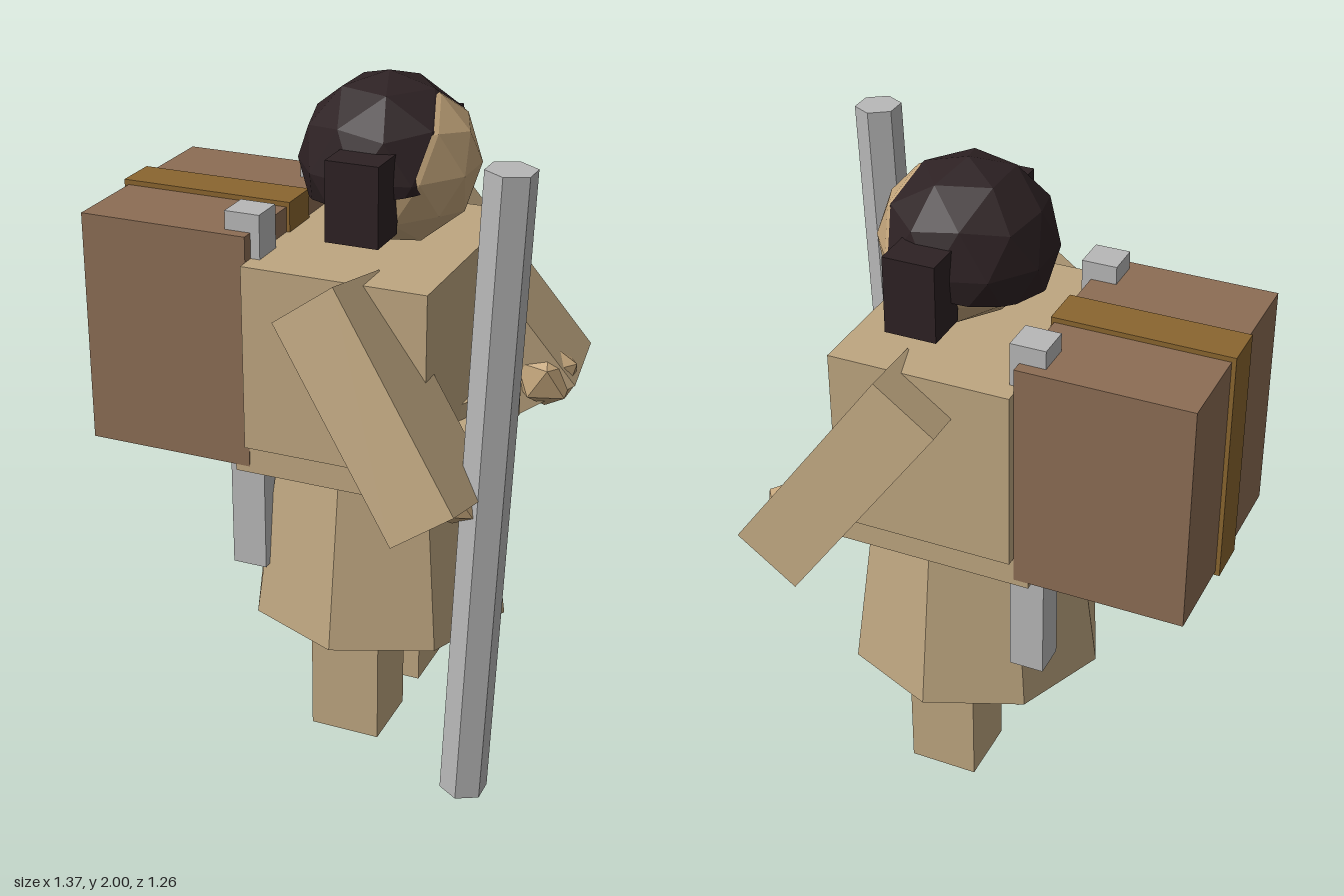
import * as THREE from 'three';

const paint = (name, color, extra = {}) => {
  const m = new THREE.MeshStandardMaterial({ color, flatShading: true, ...extra });
  m.name = name;
  return m;
};

// Faceted ball with one vertex at the very top
function facetedBall(radius, detail) {
  return new THREE.IcosahedronGeometry(radius, detail).rotateZ(-0.5536);
}

// Keep only the part of a triangle soup on the positive side of a plane
function clip(geometry, plane) {
  const pos = geometry.attributes.position, out = [];
  for (let i = 0; i < pos.count; i += 3) {
    const tri = [0, 1, 2].map(k => new THREE.Vector3().fromBufferAttribute(pos, i + k));
    const poly = [];
    tri.forEach((a, k) => {
      const b = tri[(k + 1) % 3];
      const da = plane.distanceToPoint(a), db = plane.distanceToPoint(b);
      if (da >= 0) poly.push(a);
      if (da * db < 0) poly.push(a.clone().lerp(b, da / (da - db)));
    });
    for (let k = 1; k + 1 < poly.length; k++) {
      for (const p of [poly[0], poly[k], poly[k + 1]]) out.push(p.x, p.y, p.z);
    }
  }
  const g = new THREE.BufferGeometry();
  g.setAttribute('position', new THREE.Float32BufferAttribute(out, 3));
  g.computeVertexNormals();
  return g;
}

export function createModel() {
  const model = new THREE.Group();
  model.name = 'traveller';

  const cloth = paint('cloth', 0xbea680);
  const skin = paint('skin', 0xc2a47a);
  const hair = paint('hair', 0x2d2123, { side: THREE.DoubleSide });
  const leather = paint('leather', 0x8c6d54);
  const band = paint('band', 0x8a652f);
  const grey = paint('grey', 0xb8b8b8);

  const add = (name, geometry, material, x, y, z) => {
    const mesh = new THREE.Mesh(geometry, material);
    mesh.name = name;
    mesh.position.set(x, y, z);
    model.add(mesh);
    return mesh;
  };
  // Box given by its extents along each axis
  const box = (name, material, x0, x1, y0, y1, z0, z1) =>
    add(name, new THREE.BoxGeometry(x1 - x0, y1 - y0, z1 - z0), material,
      (x0 + x1) / 2, (y0 + y1) / 2, (z0 + z1) / 2);

  // Robe: torso, waist and flared eight-sided skirt (the figure faces +x)
  box('torso', cloth, -0.16, 0.39, 0.955, 1.51, -0.372, 0.372);
  box('waist', cloth, -0.205, 0.435, 0.86, 1.02, -0.34, 0.34);
  add('skirt', new THREE.CylinderGeometry(0.306, 0.405, 0.705, 8), cloth, 0.115, 0.7125, 0);

  // Head and hair cap, cut along a line that rises towards the face
  add('head', facetedBall(0.237, 1), skin, 0.155, 1.747, 0);
  const hairline = new THREE.Plane().setFromCoplanarPoints(
    new THREE.Vector3(-0.25, -0.11, 0),
    new THREE.Vector3(0, -0.06, 1),
    new THREE.Vector3(0.25, -0.01, 0));
  if (hairline.normal.y < 0) hairline.negate();
  add('hair', clip(facetedBall(0.256, 1), hairline), hair, 0.127, 1.744, 0);

  // Paired parts
  for (const s of [1, -1]) {
    const side = s > 0 ? 'near' : 'far';
    const pair = (name, mat, x0, x1, y0, y1, z0, z1) =>
      box(side + name, mat, x0, x1, y0, y1, Math.min(s * z0, s * z1), Math.max(s * z0, s * z1));

    pair('Leg', cloth, 0.005, 0.22, 0, 0.5, 0.068, 0.28);
    pair('HairLock', hair, 0.075, 0.23, 1.6, 1.83, 0.19, 0.328);
    pair('PackStrap', grey, -0.238, -0.132, 0.53, 1.64, 0.2, 0.305);

    // Sleeve: a box reaching forward, down and slightly outward
    const along = new THREE.Vector3(-0.395, 0.54, -0.12 * s).normalize();
    const across = new THREE.Vector3(0.54, 0.395, 0).normalize();
    const out = new THREE.Vector3().crossVectors(across, along);
    const sleeve = add(side + 'Sleeve', new THREE.BoxGeometry(0.22, 0.68, 0.26), cloth,
      0.298, 1.197, 0.44 * s);
    sleeve.quaternion.setFromRotationMatrix(new THREE.Matrix4().makeBasis(across, along, out));

    add(side + 'Fist', facetedBall(0.108, 0), skin, 0.492, 0.979, 0.415 * s);
  }

  // Backpack with a band running around it
  box('pack', leather, -0.675, -0.16, 0.88, 1.585, -0.342, 0.342);
  box('packBand', band, -0.688, -0.15, 0.866, 1.6, -0.068, 0.068);

  // Hexagonal staff leaning forward
  const staff = add('staff', new THREE.CylinderGeometry(0.07, 0.07, 1.894, 6), grey, 0.583, 0.952, 0.408);
  staff.rotation.z = -0.04;

  return model;
}
